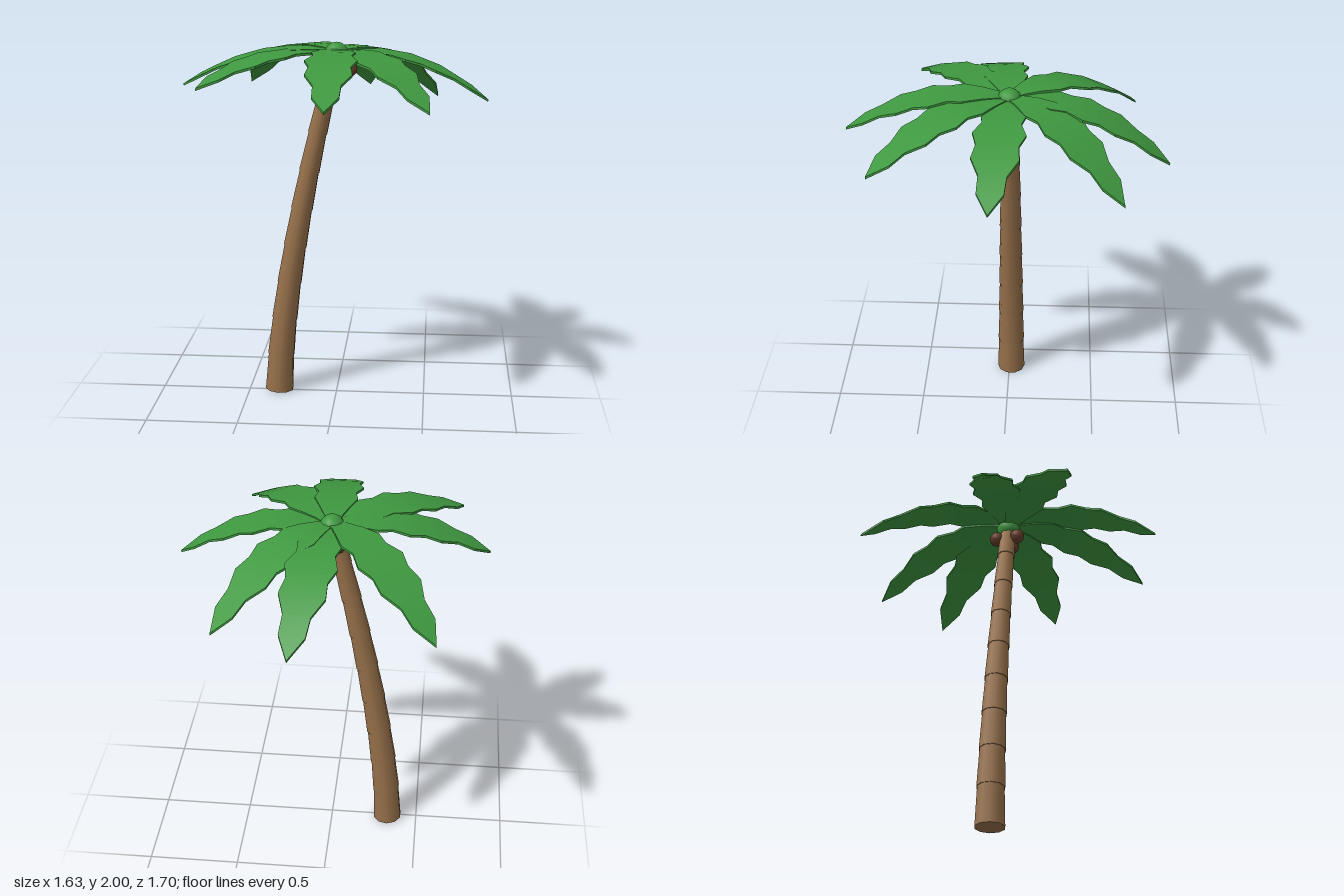
import * as THREE from 'three';
import { mergeGeometries } from 'three/addons/utils/BufferGeometryUtils.js';

const bark = new THREE.MeshStandardMaterial({ color: 0x96704a });
const leaf = new THREE.MeshStandardMaterial({ color: 0x3f9840 });
const husk = new THREE.MeshStandardMaterial({ color: 0x6b3f2c });
bark.name = 'bark';
leaf.name = 'leaf green';
husk.name = 'coconut brown';

const CENTRE_Z = -0.012;

// Surface between two rows of points, smooth or faceted
function strip(a, b, smooth) {
  const g = new THREE.BufferGeometry().setFromPoints([...a, ...b]);
  const n = a.length, index = [];
  for (let i = 0; i < n - 1; i++) index.push(i, n + i, n + i + 1, i, n + i + 1, i + 1);
  g.setIndex(index);
  if (smooth) g.computeVertexNormals();
  const out = g.toNonIndexed();
  if (!smooth) out.computeVertexNormals();
  return out;
}

// Saw-toothed frond outline: fraction of length, half width
const OUTLINE = [
  [0, 0.03], [0.08, 0.05], [0.17, 0.08], [0.28, 0.115], [0.37, 0.1], [0.475, 0.135],
  [0.57, 0.107], [0.67, 0.12], [0.78, 0.071], [0.885, 0.068], [1, 0],
];

// Thin leaf arching from the crown to its tip
function frondGeometry(tipX, tipY, tipZ, baseY) {
  const dz0 = tipZ - CENTRE_Z, length = Math.hypot(tipX, dz0);
  const dx = tipX / length, dz = dz0 / length;
  const rise = 0.18, drop = (rise * length + baseY - tipY) / length ** 2;
  const row = (side, down) => OUTLINE.map(([t, w]) => {
    const r = t * length;
    return new THREE.Vector3(
      dx * r - dz * w * side,
      baseY + rise * r - drop * r * r - down,
      CENTRE_Z + dz * r + dx * w * side);
  });
  const thick = 0.013;
  const L = row(-1, 0), R = row(1, 0), Lb = row(-1, thick), Rb = row(1, thick);
  return mergeGeometries([
    strip(L, R, true), strip(Rb, Lb, true), strip(R, Rb, false), strip(Lb, L, false),
  ]);
}

export function createModel() {
  const model = new THREE.Group();
  model.name = 'palmTree';

  // Leaning trunk of tapered segments, each flaring over the one below
  const trunk = new THREE.Group();
  trunk.name = 'trunk';
  const SEGMENTS = 9, TOP = 1.93;
  const spine = (t) => new THREE.Vector3(-0.33 + 0.33 * t ** 1.5, 0.005 + TOP * t, CENTRE_Z);
  const radius = (t) => 0.08 - 0.034 * t;
  for (let i = 0; i < SEGMENTS; i++) {
    const t0 = i / SEGMENTS, t1 = (i + 1) / SEGMENTS;
    const a = spine(t0), b = spine(t1), dir = b.clone().sub(a);
    const segment = new THREE.Mesh(
      new THREE.CylinderGeometry(radius(t1) - 0.003, radius(t0) + 0.001, dir.length() + 0.006, 10), bark);
    segment.name = 'trunkSegment' + (i + 1);
    segment.position.copy(a).add(b).multiplyScalar(0.5);
    segment.quaternion.setFromUnitVectors(new THREE.Vector3(0, 1, 0), dir.normalize());
    trunk.add(segment);
  }
  model.add(trunk);

  // Crown of eight drooping fronds, given by their tips
  const fronds = new THREE.Group();
  fronds.name = 'fronds';
  const tips = [
    [0.815, 1.71, 0.06], [0.51, 1.74, 0.68], [0.005, 1.765, 0.85], [-0.675, 1.82, 0.51],
    [-0.82, 1.78, 0.08], [-0.565, 1.69, -0.7], [0.14, 1.66, -0.85], [0.55, 1.63, -0.605],
  ];
  tips.forEach(([x, y, z], i) => {
    const frond = new THREE.Mesh(frondGeometry(x, y, z, 1.946 + 0.002 * ((i * 3) % 8)), leaf);
    frond.name = 'frond' + (i + 1);
    fronds.add(frond);
  });
  model.add(fronds);

  // Round bud on top
  const bud = new THREE.Mesh(new THREE.SphereGeometry(0.068, 10, 8), leaf);
  bud.name = 'bud';
  bud.position.set(0, 1.932, CENTRE_Z);
  model.add(bud);

  // Coconuts tucked under the crown
  for (let i = 0; i < 3; i++) {
    const angle = (i * 2 * Math.PI) / 3;
    const nut = new THREE.Mesh(new THREE.SphereGeometry(0.042, 10, 8), husk);
    nut.name = 'coconut' + (i + 1);
    nut.position.set(0.07 * Math.cos(angle), 1.855, CENTRE_Z + 0.07 * Math.sin(angle));
    model.add(nut);
  }
  return model;
}
